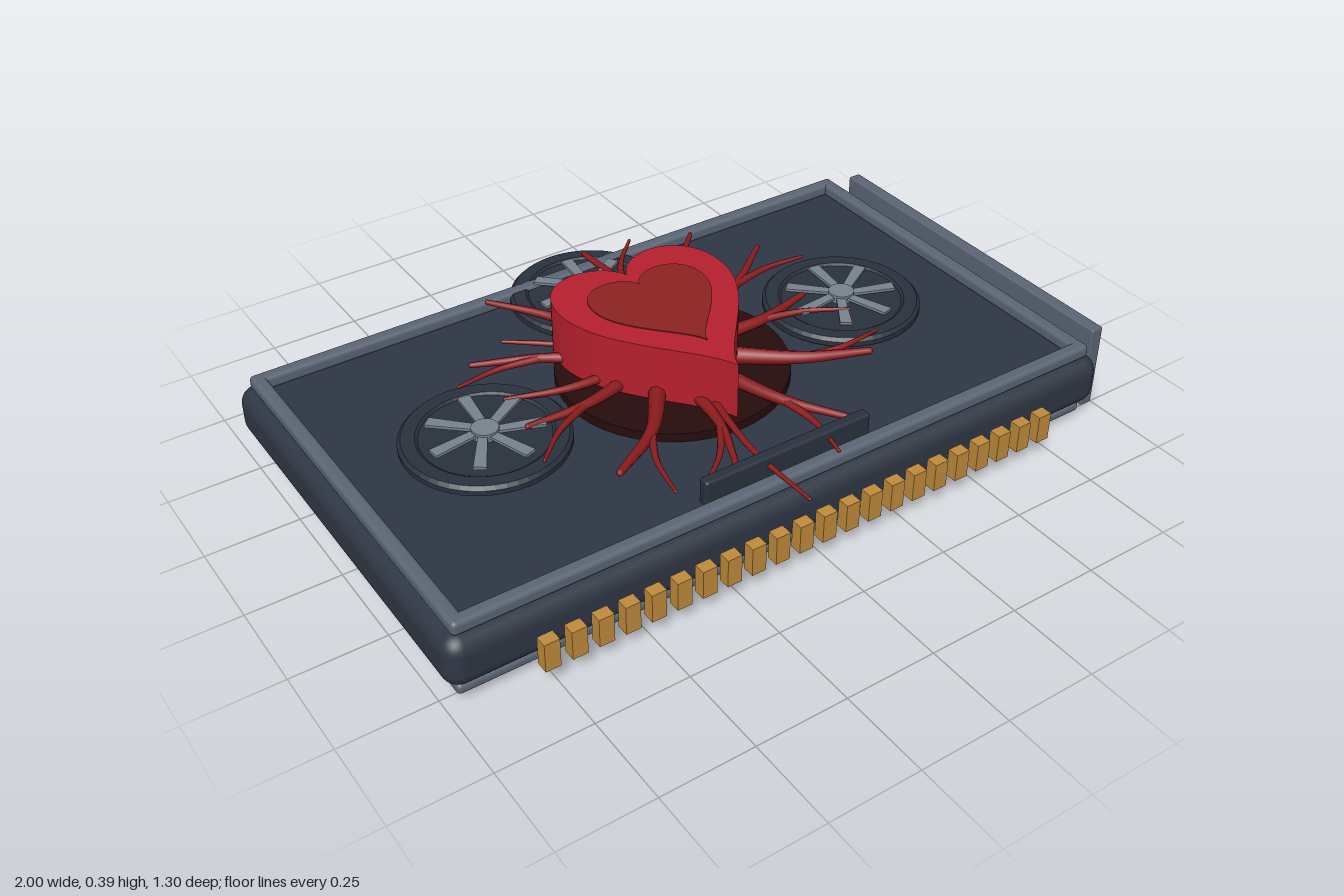
import * as THREE from 'three';
import { RoundedBoxGeometry } from 'three/addons/geometries/RoundedBoxGeometry.js';

const mat = (name, color) => Object.assign(new THREE.MeshStandardMaterial({ color }), { name });

// tube through the points, narrowing towards its end
function taperedTube(points, radius) {
  const curve = new THREE.CatmullRomCurve3(points);
  const steps = 12, sides = 8;
  const geo = new THREE.TubeGeometry(curve, steps, radius, sides);
  const pos = geo.attributes.position, v = new THREE.Vector3();
  for (let i = 0; i < pos.count; i++) {
    const t = Math.floor(i / (sides + 1)) / steps;
    const c = curve.getPointAt(t);
    v.fromBufferAttribute(pos, i).sub(c).multiplyScalar(1 - 0.6 * t).add(c);
    pos.setXYZ(i, v.x, v.y, v.z);
  }
  return geo;
}

export function createModel() {
  const M = {
    shell: mat('dark slate shell', 0x2e3744),
    trim: mat('steel trim', 0x5a6574),
    dark: mat('dark fan housing', 0x29313d),
    blade: mat('fan blade grey', 0x78838e),
    gold: mat('contact gold', 0xc08a3c),
    crater: mat('burnt maroon', 0x260c0d),
    heart: mat('heart red', 0xb5202d),
    inner: mat('inner heart red', 0x8c2320),
    vein: mat('vein red', 0x8e1c1e),
  };
  const model = new THREE.Group();
  model.name = 'heartCard';
  const add = (name, geo, material, x = 0, y = 0, z = 0, parent = model) => {
    const mesh = new THREE.Mesh(geo, material);
    mesh.name = name;
    mesh.position.set(x, y, z);
    parent.add(mesh);
    return mesh;
  };
  // box from its minimum and maximum corners, optionally rounded
  const block = (name, material, a, b, r = 0) => {
    const s = a.map((v, i) => b[i] - v);
    const geo = r ? new RoundedBoxGeometry(...s, 4, r) : new THREE.BoxGeometry(...s);
    return add(name, geo, material, ...a.map((v, i) => (v + b[i]) / 2));
  };

  // body, back plate and raised frame
  block('body', M.shell, [-1, 0.065, -0.6], [0.94, 0.207, 0.57], 0.045);
  block('backPlate', M.trim, [-0.97, 0.028, -0.565], [0.91, 0.058, 0.54], 0.012);
  block('backPlateSpacer', M.shell, [-0.93, 0.05, -0.53], [0.87, 0.08, 0.5]);
  for (const z of [-0.567, 0.505]) block('longRail', M.trim, [-0.97, 0.205, z], [0.91, 0.243, z + 0.038], 0.012);
  for (const x of [-0.97, 0.872]) block('shortRail', M.trim, [x, 0.205, -0.567], [x + 0.038, 0.243, 0.543], 0.012);

  // end bracket with thin port plates on its inner face
  block('bracket', M.trim, [0.962, 0, -0.527], [1, 0.245, 0.503], 0.005);
  for (const z of [-0.35, -0.01, 0.33]) block('port', M.dark, [0.956, 0.15, z - 0.1], [0.964, 0.17, z + 0.1]);

  // row of edge contacts
  for (let i = 0; i < 22; i++) {
    const x = -0.77 + i * 0.07;
    block('contact', M.gold, [x - 0.02, 0.063, 0.58], [x + 0.02, 0.143, 0.613]);
  }
  block('slotBar', M.dark, [-0.275, 0.2, 0.455], [0.215, 0.275, 0.487], 0.008);

  // scorched disc under the heart
  add('scorchedDisc', new THREE.CylinderGeometry(0.308, 0.308, 0.032, 48), M.crater, -0.03, 0.216, -0.02);

  // three fans
  const bladeGeo = new THREE.ExtrudeGeometry(new THREE.Shape([
    new THREE.Vector2(0.015, -0.012), new THREE.Vector2(0.15, 0.02),
    new THREE.Vector2(0.143, 0.052), new THREE.Vector2(0.015, 0.012),
  ]), { depth: 0.008, bevelEnabled: false }).rotateX(-Math.PI / 2);
  const rim = [[0, 0.208], [0.205, 0.208], [0.216, 0.216], [0.216, 0.23],
    [0.207, 0.239], [0.172, 0.239], [0.165, 0.234], [0, 0.234]];
  const rimGeo = new THREE.LatheGeometry(rim.map(p => new THREE.Vector2(...p)), 48).toNonIndexed();
  rimGeo.computeVertexNormals();
  for (const [x, z] of [[-0.582, -0.018], [0.525, -0.018], [-0.03, -0.437]]) {
    const fan = new THREE.Group();
    fan.name = 'fan';
    fan.position.set(x, 0, z);
    model.add(fan);
    add('fanHousing', rimGeo, M.dark, 0, 0, 0, fan);
    add('fanHub', new THREE.CylinderGeometry(0.035, 0.035, 0.024, 24), M.blade, 0, 0.245, 0, fan);
    for (let i = 0; i < 7; i++) {
      add('fanBlade', bladeGeo, M.blade, 0, 0.243, 0, fan).rotation.y = i * Math.PI * 2 / 7 + 0.3;
    }
  }

  // heart, lying flat with its tip towards the front
  const heartShape = new THREE.Shape();
  heartShape.moveTo(0, -0.27);
  heartShape.bezierCurveTo(0.03, -0.16, 0.245, -0.02, 0.245, 0.16);
  heartShape.bezierCurveTo(0.245, 0.35, 0.04, 0.345, 0, 0.235);
  heartShape.bezierCurveTo(-0.04, 0.345, -0.245, 0.35, -0.245, 0.16);
  heartShape.bezierCurveTo(-0.245, -0.02, -0.03, -0.16, 0, -0.27);
  const heartGeo = depth => new THREE.ExtrudeGeometry(heartShape, { depth, bevelEnabled: false, curveSegments: 20 })
    .rotateX(-Math.PI / 2);
  add('heart', heartGeo(0.16), M.heart, -0.03, 0.229, 0);
  add('innerHeart', heartGeo(0.004), M.inner, -0.03, 0.388, -0.03).scale.set(0.68, 1, 0.62);

  // veins spreading from under the heart, most with one side branch
  const veins = new THREE.Group();
  veins.name = 'veins';
  model.add(veins);
  const up = new THREE.Vector3(0, 1, 0);
  const vein = (name, start, end, radius, bend) => {
    const side = end.clone().sub(start).cross(up).normalize();
    const mid = start.clone().lerp(end, 0.5).addScaledVector(side, bend);
    add(name, taperedTube([start, mid, end], radius), M.vein, 0, 0, 0, veins);
    add('veinTip', new THREE.SphereGeometry(radius * 0.4, 8, 6), M.vein, ...end.toArray(), veins);
    return mid;
  };
  const centre = new THREE.Vector3(-0.03, 0.249, -0.02);
  // tip x, tip z, radius, sideways bend, branch side
  for (const [x, z, radius, bend, branch] of [
    [-0.3, -0.52, 0.018, 0.02, 0], [-0.36, -0.33, 0.012, 0.01, 0],
    [-0.48, -0.28, 0.018, 0.02, -1], [-0.48, -0.1, 0.015, -0.02, 0],
    [-0.49, 0.03, 0.018, -0.02, -1], [-0.4, 0.31, 0.024, -0.03, -1],
    [-0.16, 0.45, 0.018, -0.02, 1], [-0.09, 0.64, 0.011, 0.02, 0],
    [0.19, 0.45, 0.02, 0.02, 1], [0.41, 0.245, 0.024, 0.02, -1],
    [0.43, -0.07, 0.02, 0.02, 1], [0.48, -0.345, 0.018, 0.02, 1],
    [0.36, -0.51, 0.016, -0.02, 0], [0.05, -0.59, 0.018, 0.03, 1],
  ]) {
    const tip = new THREE.Vector3(x, centre.y, z);
    const mid = vein('vein', centre.clone().lerp(tip, 0.3), tip, radius, bend);
    if (branch) {
      const reach = tip.clone().sub(centre).setLength(0.24).applyAxisAngle(up, -0.5 * branch);
      vein('veinBranch', mid, mid.clone().add(reach), 0.011, -0.015 * branch);
    }
  }
  return model;
}
